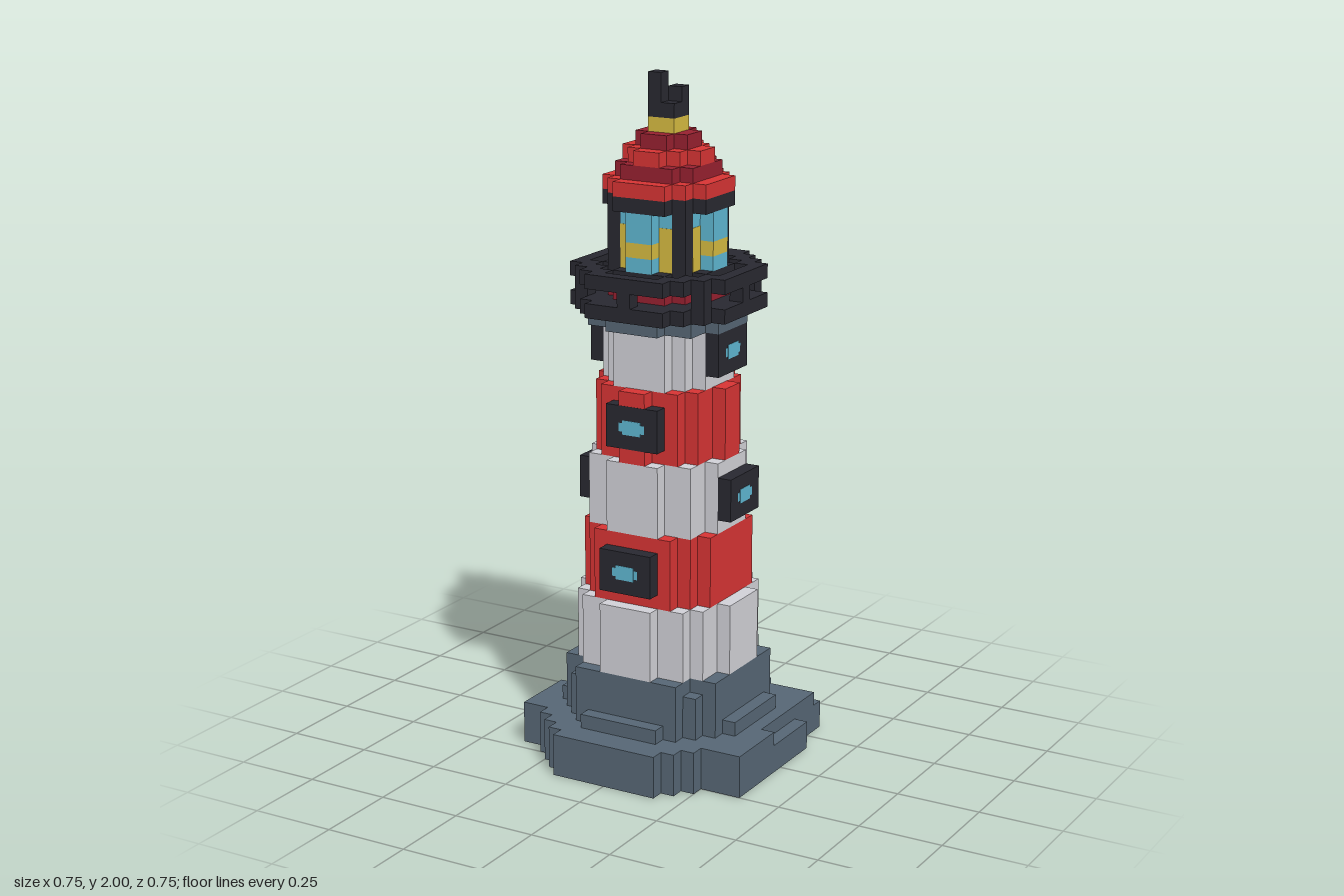
import * as THREE from 'three';

const U = 1 / 24; // one block

const mat = (name, color) => Object.assign(new THREE.MeshStandardMaterial({ color }), { name });

export function createModel() {
  const slate = mat('slate', 0x566674);
  const white = mat('white', 0xd0d0d6);
  const red = mat('red', 0xd63434);
  const darkRed = mat('dark red', 0x96202f);
  const dark = mat('charcoal', 0x282830);
  const glass = mat('glass blue', 0x5eb6d0);
  const yellow = mat('yellow', 0xd4b940);
  const brown = mat('door brown', 0x744628);

  const model = new THREE.Group();
  model.name = 'lighthouse';

  function add(parent, name, geometry, material) {
    const mesh = new THREE.Mesh(geometry, material);
    mesh.name = name;
    parent.add(mesh);
  }

  // Box between two corners, in blocks
  function box(name, material, x0, x1, y0, y1, z0, z1, parent = model) {
    const g = new THREE.BoxGeometry((x1 - x0) * U, (y1 - y0) * U, (z1 - z0) * U);
    g.translate((x0 + x1) / 2 * U, (y0 + y1) / 2 * U, (z0 + z1) / 2 * U);
    add(parent, name, g, material);
  }

  // Stepped round outline from the outer corners of one quarter
  function stair(corners) {
    const q = [];
    corners.forEach(([x, z], i) => {
      if (i) q.push([x, corners[i - 1][1]]);
      q.push([x, z]);
    });
    const r = [...q].reverse();
    return [...q, ...r.map(([x, z]) => [-x, z]), ...q.map(([x, z]) => [-x, -z]), ...r.map(([x, z]) => [x, -z])];
  }

  // Outline extruded from y0 to y1, with an optional hole wound the other way
  function slab(name, material, outline, y0, y1, hole) {
    const toPoints = (o) => o.map(([x, z]) => new THREE.Vector2(x * U, -z * U));
    const shape = new THREE.Shape(toPoints(outline));
    if (hole) shape.holes.push(new THREE.Path(toPoints(hole).reverse()));
    const g = new THREE.ExtrudeGeometry(shape, { depth: (y1 - y0) * U, bevelEnabled: false });
    g.rotateX(-Math.PI / 2).translate(0, y0 * U, 0);
    add(model, name, g, material);
  }

  // Hollow, uneven rock base
  const baseLow = [[-5, -9], [5, -9], [5, -8], [8, -8], [8, -4], [9, -4], [9, 6], [6, 6], [6, 7], [5, 7], [5, 8],
    [4, 8], [4, 9], [-4, 9], [-4, 8], [-5, 8], [-5, 7], [-6, 7], [-6, 6], [-7, 6], [-7, 5], [-9, 5], [-9, -5],
    [-7, -5], [-7, -8], [-5, -8]];
  const baseHigh = [[-7, -8], [4, -8], [4, -7], [8, -7], [8, 1], [9, 1], [9, 6], [6, 6], [6, 7], [5, 7], [5, 8],
    [4, 8], [4, 9], [-4, 9], [-4, 8], [-5, 8], [-5, 7], [-6, 7], [-6, 6], [-7, 6], [-7, 5], [-9, 5], [-9, 0],
    [-8, 0], [-8, -5], [-7, -5]];
  const baseHole = stair([[6, 3], [5, 4], [4, 5], [3, 6]]);
  const footHole = stair([[5, 3], [4, 4], [3, 5]]);
  slab('baseLower', slate, baseLow, 0, 2, baseHole);
  slab('baseUpper', slate, baseHigh, 2, 3, baseHole);
  slab('baseStep', slate, stair([[7, 3], [6, 4], [5, 5], [4, 6], [3, 7]]), 3, 4, footHole);
  slab('towerFoot', slate, stair([[6, 4], [5, 5], [4, 6]]), 4, 6, footHole);
  slab('towerFootTop', slate, stair([[6, 4], [4, 6]]), 6, 7);

  // Porch and door at the back
  box('porch', slate, -3, 3, 3, 7, -7, -5);
  box('door', brown, -2, 2, 3, 5.4, -7.02, -7);
  box('doorTop', brown, -1.4, 1.4, 5.4, 6, -7.02, -7);
  box('doorPane', dark, -0.8, 0.8, 4.3, 5.1, -7.05, -7.02);
  box('doorLamp', yellow, -1, 1, 6, 7, -8, -7);

  // Striped tower, tapering upwards
  const middle = stair([[5, 2], [4, 4], [2, 5]]);
  const narrow = stair([[4, 2], [3, 3], [2, 4]]);
  slab('whiteBandLow', white, stair([[6, 2], [5, 4], [4, 5], [2, 6]]), 7, 12);
  slab('redBandLow', red, stair([[5, 3], [4, 4], [3, 5]]), 12, 17);
  slab('whiteBandMiddle', white, middle, 17, 22);
  slab('redBandHigh', red, stair([[5, 1], [4, 3], [3, 4], [1, 5]]), 22, 27);
  slab('whiteBandHigh', white, narrow, 27, 31);

  // Framed windows in opposite pairs, alternating between the two axes
  function windowPair(y, reach, turn) {
    for (const side of [0, Math.PI]) {
      const w = new THREE.Group();
      w.name = 'window';
      box('windowFrame', dark, -2, 2, y, y + 3, reach - 1, reach, w);
      box('pane', glass, -1, 1, y + 1.2, y + 1.8, reach, reach + 0.015, w);
      box('paneMiddle', glass, -0.7, 0.7, y + 1, y + 2, reach, reach + 0.03, w);
      w.rotation.y = turn + side;
      model.add(w);
    }
  }
  windowPair(13, 6, 0);
  windowPair(18, 6, Math.PI / 2);
  windowPair(23, 5.02, 0);
  windowPair(28, 5, Math.PI / 2);

  // Gallery with open railing
  const deck = stair([[6, 3], [5, 4], [4, 5], [3, 6]]);
  slab('galleryCollar', slate, middle, 31, 32);
  slab('galleryDeck', dark, deck, 32, 33);
  slab('galleryRail', dark, deck, 34, 35, stair([[5, 2], [4, 3], [3, 4], [2, 5]]));
  for (const s of [-1, 1]) {
    box('railPost', dark, -0.5, 0.5, 33, 34, 5.5 * s - 0.5, 5.5 * s + 0.5);
    box('railPost', dark, 5.5 * s - 0.5, 5.5 * s + 0.5, 33, 34, -0.5, 0.5);
    for (const t of [-1, 1]) box('cornerPost', dark, 4.5 * s - 0.5, 4.5 * s + 0.5, 33, 34, 3.5 * t - 0.5, 3.5 * t + 0.5);
  }
  slab('lanternFoot', darkRed, narrow, 33, 34);
  slab('lanternSill', dark, narrow, 34, 35);

  // Lantern room: four glass bays, yellow columns beside them, dark corner posts
  for (let i = 0; i < 4; i++) {
    const bay = new THREE.Group();
    bay.name = 'lanternBay';
    box('bayGlassLower', glass, -1, 1, 35, 36, 3, 4, bay);
    box('lightBand', yellow, -1, 1, 36, 37, 3, 4, bay);
    box('bayGlassUpper', glass, -1, 1, 37, 39, 3, 4, bay);
    box('backGlass', glass, -2, 2, 35, 39, 2, 3, bay);
    for (const s of [-1, 1]) box('lightColumn', yellow, 1.5 * s - 0.5, 1.5 * s + 0.5, 35, 38, 3, 3.03, bay);
    box('cornerPost', dark, 2, 3, 35, 39, 2, 3, bay);
    bay.rotation.y = i * Math.PI / 2;
    model.add(bay);
  }

  // Stepped roof
  slab('roofRim', dark, narrow, 39, 40);
  slab('roofEaves', red, narrow, 40, 41);
  slab('roofLower', darkRed, stair([[3, 2], [2, 3]]), 41, 42);
  slab('roofMiddle', red, stair([[3, 1], [2, 2], [1, 3]]), 42, 43);
  slab('roofUpper', darkRed, stair([[2, 1], [1, 2]]), 43, 44);

  // Finial with two uneven prongs
  box('finialCollar', yellow, -1, 1, 44, 45, -1, 1);
  box('finial', dark, -1, 1, 45, 46, -1, 1);
  box('finialProngTall', dark, -1, 0, 46, 48, 0, 1);
  box('finialProngShort', dark, 0, 1, 46, 47, -1, 0);

  return model;
}
